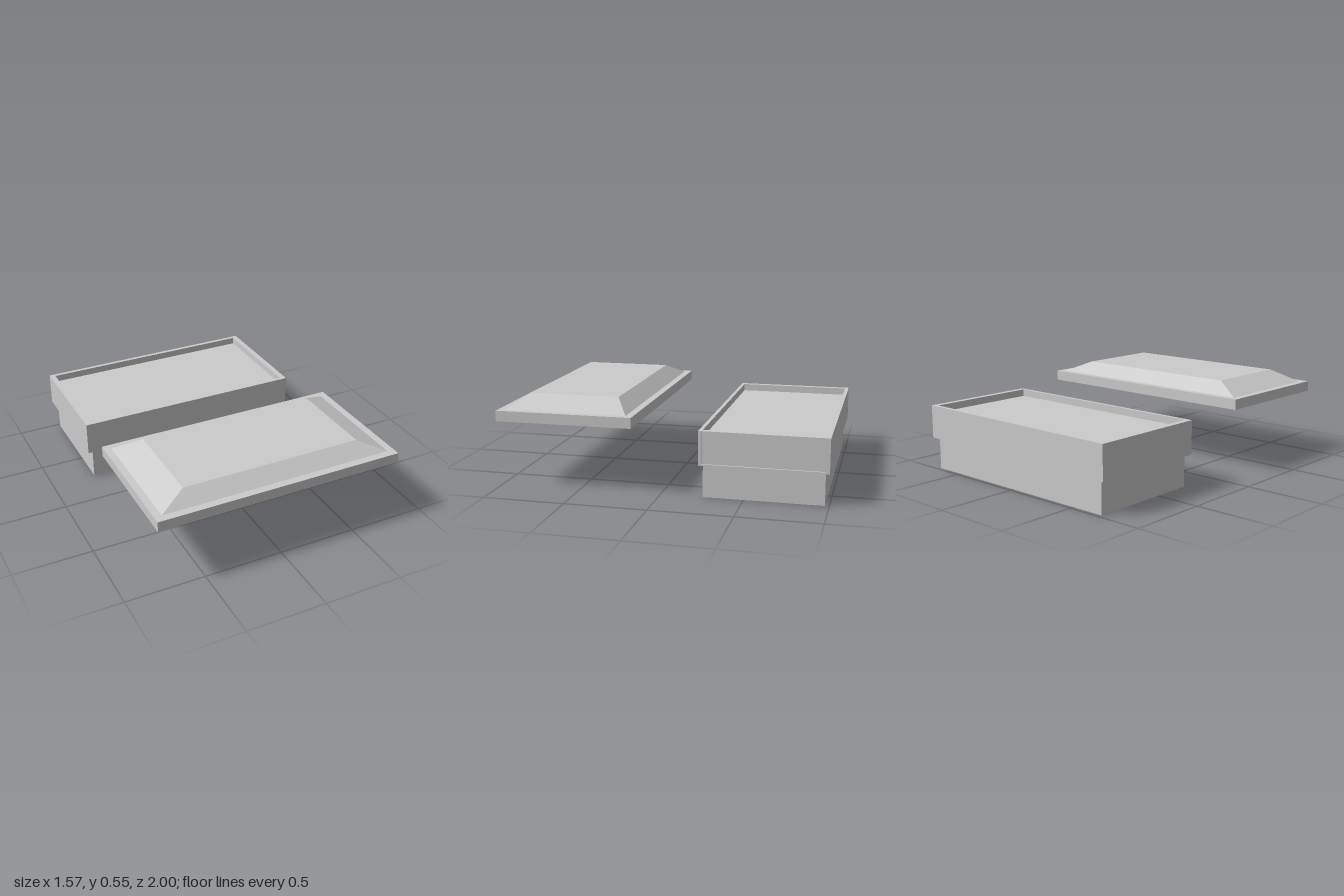
import * as THREE from 'three';

const material = new THREE.MeshStandardMaterial({ color: 0xcccccc, flatShading: true });

function addMesh(parent, name, geometry) {
  const mesh = new THREE.Mesh(geometry, material);
  mesh.name = name;
  parent.add(mesh);
  return mesh;
}

// Box given by its lower and upper limits on each axis
function boxBetween(x0, x1, y0, y1, z0, z1) {
  return new THREE.BoxGeometry(x1 - x0, y1 - y0, z1 - z0)
    .translate((x0 + x1) / 2, (y0 + y1) / 2, (z0 + z1) / 2);
}

// Rectangular frame in the XY plane, extruded along +z
function frame(outer, inner, depth) {
  const corners = ([a0, a1, b0, b1]) => [[a0, b0], [a1, b0], [a1, b1], [a0, b1]]
    .map(([a, b]) => new THREE.Vector2(a, b));
  const shape = new THREE.Shape(corners(outer));
  shape.holes.push(new THREE.Path(corners(inner).reverse()));
  return new THREE.ExtrudeGeometry(shape, { depth, bevelEnabled: false });
}

export function createModel() {
  const model = new THREE.Group();
  model.name = 'boxWithLid';

  // Open box: solid body whose top is the floor inside the rim
  const box = new THREE.Group();
  box.name = 'box';
  model.add(box);
  addMesh(box, 'body', boxBetween(-0.715, 0.695, 0, 0.365, -0.975, -0.257));

  // Wider rim band around the upper half (shape y runs along -z)
  const rim = frame([-0.75, 0.72, 0.235, 1], [-0.715, 0.695, 0.257, 0.975], 0.21);
  addMesh(box, 'rimBand', rim.rotateX(-Math.PI / 2).translate(0, 0.2, 0));

  // Raised border that leaves a shallow recessed panel on the +x end
  const border = frame([0.235, 1, 0.2, 0.41], [0.257, 0.975, 0.21, 0.4], 0.01);
  addMesh(box, 'endPanelBorder', border.rotateY(Math.PI / 2).translate(0.72, 0, 0));

  // Lid resting in front: flat plate with a sloped raised top
  const lid = new THREE.Group();
  lid.name = 'lid';
  model.add(lid);
  addMesh(lid, 'lidPlate', boxBetween(-0.785, 0.785, 0.413, 0.478, 0.153, 1));

  const top = boxBetween(-0.74, 0.74, 0.478, 0.552, 0.198, 0.952);
  const p = top.attributes.position;
  for (let i = 0; i < p.count; i++) {
    if (p.getY(i) > 0.5) {
      p.setX(i, Math.sign(p.getX(i)) * 0.57);
      p.setZ(i, p.getZ(i) > 0.575 ? 0.86 : 0.292);
    }
  }
  top.computeVertexNormals();
  addMesh(lid, 'lidSlopedTop', top);

  return model;
}
